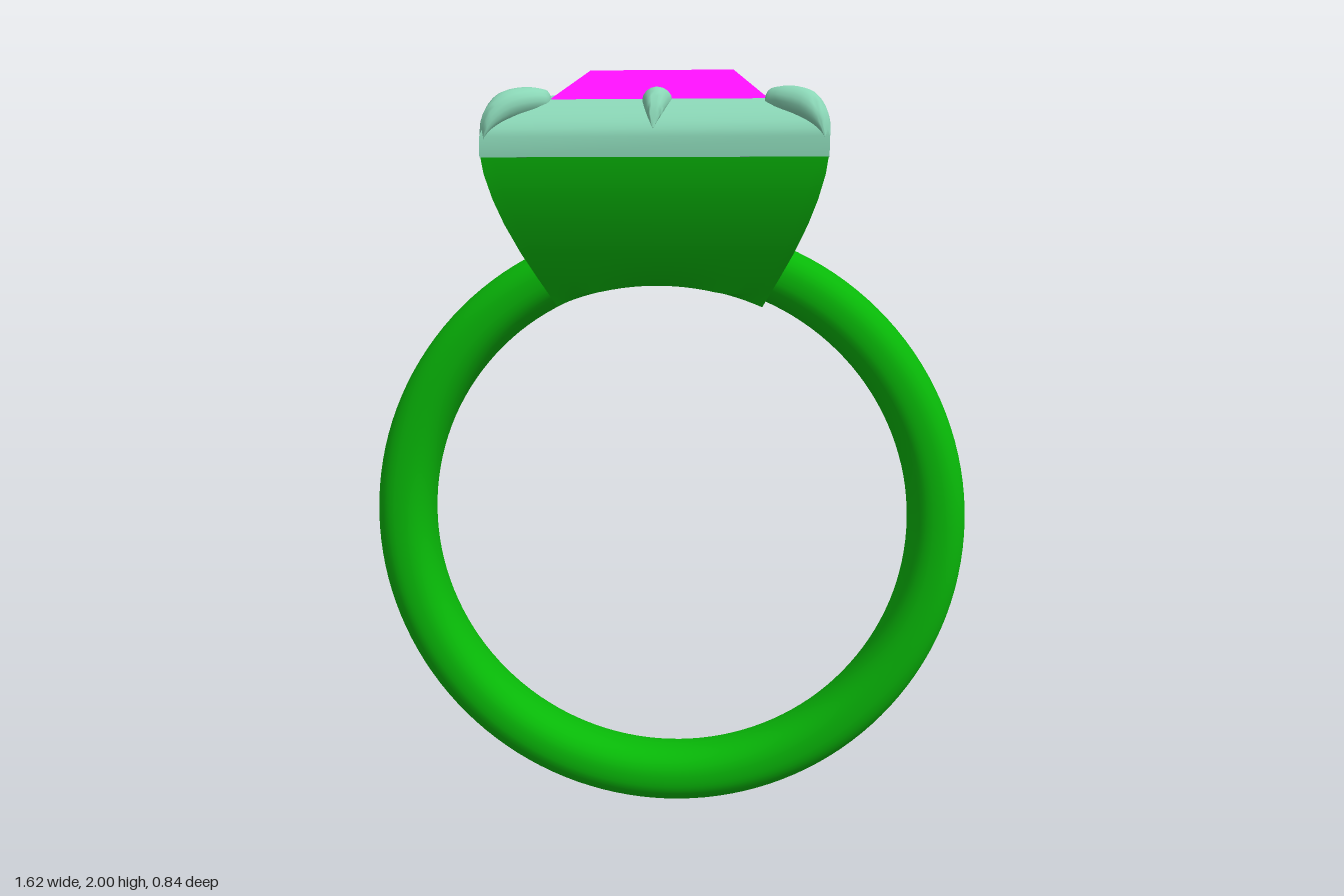
import * as THREE from 'three';
import { toCreasedNormals } from 'three/addons/utils/BufferGeometryUtils.js';

const BAND_Y = 0.81;
const green = new THREE.MeshStandardMaterial({ color: 0x08b808 });
const mint = new THREE.MeshStandardMaterial({ color: 0x8ad6b6 });
const magenta = new THREE.MeshStandardMaterial({ color: 0xff10ff, flatShading: true });

// Grid of (cols + 1) x (rows + 1) points turned into a surface
function gridGeometry(points, cols, rows) {
  const index = [];
  for (let j = 0; j < rows; j++) {
    for (let i = 0; i < cols; i++) {
      const a = j * (cols + 1) + i, b = a + 1, c = b + cols + 1, d = a + cols + 1;
      index.push(a, b, c, a, c, d);
    }
  }
  const g = new THREE.BufferGeometry();
  g.setAttribute('position', new THREE.Float32BufferAttribute(points, 3));
  g.setIndex(index);
  return g;
}

// Carries a [half width, height] profile around a square; floor(x) trims the underside
function squareRing(name, profile, material, cols = 1, floor = () => 0) {
  const group = new THREE.Group();
  group.name = name;
  for (let k = 0; k < 4; k++) {
    const pts = [];
    for (const [h, y] of profile) {
      for (let i = 0; i <= cols; i++) {
        const x = h * (2 * i / cols - 1);
        pts.push(x, Math.max(y, floor(k % 2 ? h : x)), h);
      }
    }
    const geo = toCreasedNormals(gridGeometry(pts, cols, profile.length - 1), 0.6);
    const side = new THREE.Mesh(geo, material);
    side.name = name + 'Side';
    side.rotation.y = k * Math.PI / 2;
    group.add(side);
  }
  return group;
}

// Leaf-shaped claw from stations [distance out, height, half width, half thickness]
function clawGeometry(stations) {
  const curve = [0, 1].map(k => new THREE.CatmullRomCurve3(
    stations.map(s => new THREE.Vector3(s[2 * k], s[2 * k + 1], 0))));
  const cols = 16, rows = 20, pts = [];
  for (let j = 0; j <= rows; j++) {
    const c = curve[0].getPoint(j / rows), r = curve[1].getPoint(j / rows);
    for (let i = 0; i <= cols; i++) {
      const a = -i / cols * Math.PI * 2;
      pts.push(Math.max(r.x, 0) * Math.cos(a), c.y + Math.max(r.y, 0) * Math.sin(a), c.x);
    }
  }
  return toCreasedNormals(gridGeometry(pts, cols, rows), 0.9);
}

export function createModel() {
  const ring = new THREE.Group();
  ring.name = 'ring';

  // Band: rounded section swept around, open where the setting sits
  const section = [];
  const soft = v => Math.sign(v) * Math.abs(v) ** 0.85;
  for (let i = 0; i <= 40; i++) {
    const a = Math.PI + i / 40 * Math.PI * 2;
    section.push(new THREE.Vector2(0.732 + 0.077 * soft(Math.cos(a)), 0.097 * soft(Math.sin(a))));
  }
  const gap = THREE.MathUtils.degToRad(20);
  const bandGeo = new THREE.LatheGeometry(section, 120, Math.PI + gap, Math.PI * 2 - 2 * gap);
  bandGeo.rotateX(Math.PI / 2);
  const band = new THREE.Mesh(bandGeo, green);
  band.name = 'band';
  band.position.y = BAND_Y;
  ring.add(band);

  // Setting: hollow flared cup, its underside trimmed to the finger opening
  const fingerArc = x => BAND_Y + Math.sqrt(0.657 ** 2 - x * x);
  ring.add(squareRing('setting', [
    [0.26, 1.41], [0.28, 1.448], [0.3, 1.483], [0.337, 1.55], [0.37, 1.62], [0.393, 1.68],
    [0.41, 1.74], [0.416, 1.78], [0.3, 1.78], [0.16, 1.61], [0.16, 1.55], [0.2, 1.55],
    [0.2, 1.41], [0.26, 1.41],
  ], green, 24, fingerArc));

  // Bezel: square frame sloping up to the stone
  ring.add(squareRing('bezel', [
    [0.3, 1.78], [0.418, 1.78], [0.418, 1.828], [0.412, 1.846], [0.398, 1.864], [0.375, 1.884],
    [0.345, 1.904], [0.32, 1.916], [0.3, 1.922], [0.3, 1.78],
  ], mint));

  // Stone: faceted crown and pavilion
  ring.add(squareRing('gem', [
    [0, 1.6], [0.16, 1.67], [0.299, 1.78], [0.299, 1.9], [0.265, 1.928], [0.18, 2], [0, 2],
  ], magenta));

  // Claws: one on each corner and one in the middle of each side
  const cornerGeo = clawGeometry([
    [0.588, 1.8, 0, 0], [0.575, 1.855, 0.018, 0.025], [0.53, 1.895, 0.036, 0.037],
    [0.46, 1.913, 0.05, 0.037], [0.42, 1.915, 0.046, 0.035], [0.39, 1.915, 0.02, 0.028],
    [0.375, 1.912, 0, 0],
  ]);
  const sideGeo = clawGeometry([
    [0.415, 1.845, 0, 0], [0.39, 1.882, 0.016, 0.02], [0.345, 1.91, 0.03, 0.034],
    [0.3, 1.917, 0.037, 0.034], [0.275, 1.918, 0.018, 0.028], [0.262, 1.916, 0, 0],
  ]);
  for (let k = 0; k < 8; k++) {
    const corner = k % 2 === 1;
    const claw = new THREE.Mesh(corner ? cornerGeo : sideGeo, mint);
    claw.name = corner ? 'cornerClaw' : 'sideClaw';
    claw.rotation.y = k * Math.PI / 4;
    ring.add(claw);
  }
  return ring;
}
